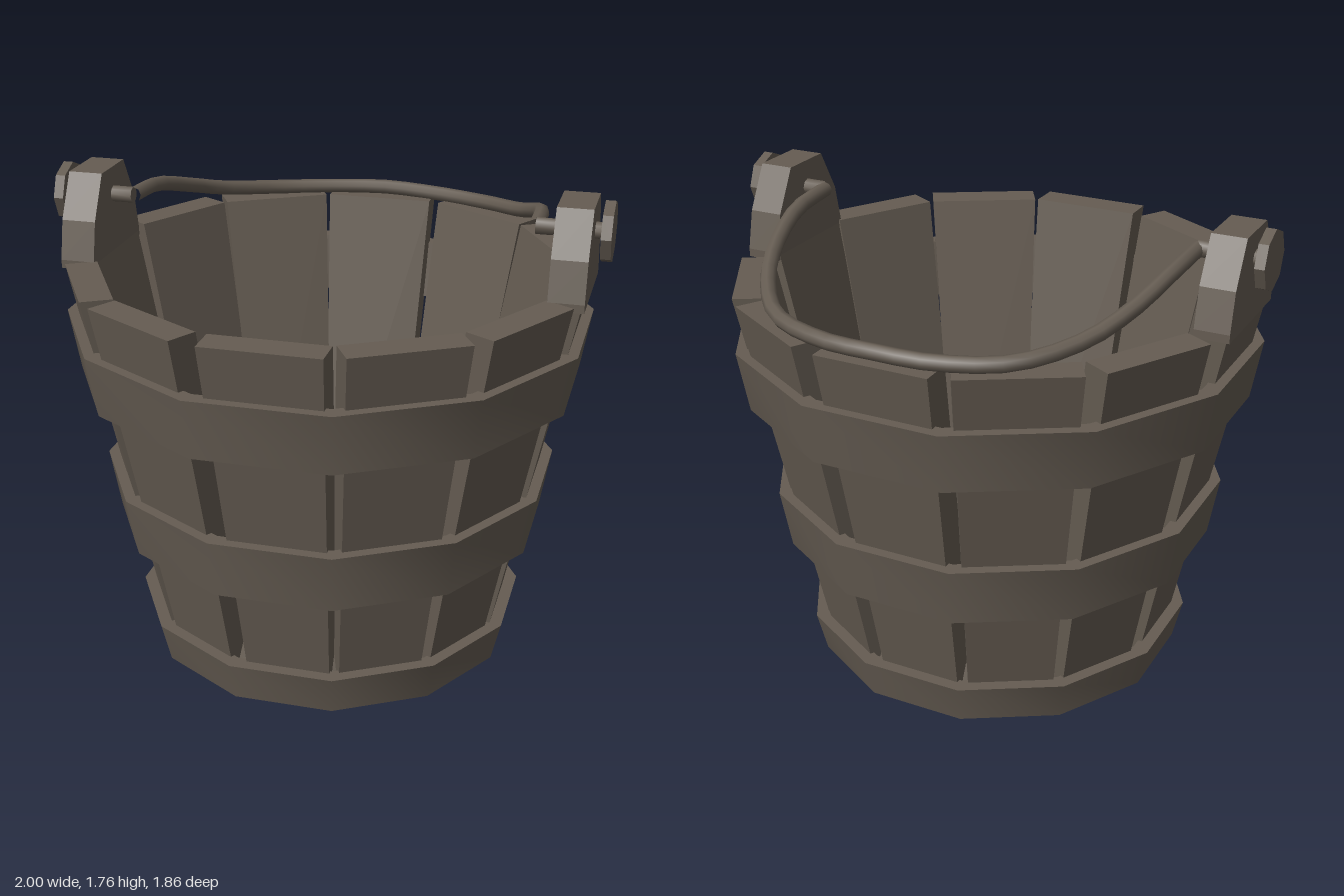
import * as THREE from 'three';
import { toCreasedNormals } from 'three/addons/utils/BufferGeometryUtils.js';

const wood = new THREE.MeshStandardMaterial({ color: 0x655c52 });
wood.name = 'weathered wood';

const SIDES = 12;
const CORNER = 1 / Math.cos(Math.PI / SIDES); // flat-to-flat radius -> corner radius

function add(parent, name, geometry) {
  const mesh = new THREE.Mesh(geometry, wood);
  mesh.name = name;
  parent.add(mesh);
  return mesh;
}

// Tapered plank leaning outwards, shifted slightly sideways
function staveGeometry(shift) {
  const g = new THREE.BoxGeometry(2, 1.44, 2);
  g.translate(0, 0.74, 0);
  const p = g.attributes.position;
  for (let i = 0; i < p.count; i++) {
    const y = p.getY(i);
    const outer = p.getZ(i) > 0;
    p.setX(i, Math.sign(p.getX(i)) * (0.147 + 0.041 * y) + shift);
    p.setZ(i, (outer ? 0.63 : 0.515) + 0.205 * y);
  }
  g.computeVertexNormals();
  return g;
}

// Twelve-sided flared hoop with a rectangular section
function hoopGeometry(y0, y1, r0, r1) {
  const t = 0.06;
  const profile = [[r0 - t, y0], [r0, y0], [r1, y1], [r1 - t, y1], [r0 - t, y0]]
    .map(([r, y]) => new THREE.Vector2(r * CORNER, y));
  return toCreasedNormals(new THREE.LatheGeometry(profile, SIDES, Math.PI / SIDES), 0.7);
}

export function createModel() {
  const bucket = new THREE.Group();
  bucket.name = 'bucket';

  // Staves
  const shifts = [0.015, 0.004, -0.004, -0.025, 0.005, -0.006, 0.012, 0.004, -0.005, 0.025, 0.006, -0.004];
  shifts.forEach((shift, i) => {
    add(bucket, 'stave', staveGeometry(shift)).rotation.y = (i * 2 * Math.PI) / SIDES;
  });

  // Hoops
  add(bucket, 'bottomHoop', hoopGeometry(0, 0.15, 0.67, 0.705));
  add(bucket, 'middleHoop', hoopGeometry(0.48, 0.7, 0.775, 0.812));
  add(bucket, 'topHoop', hoopGeometry(1.05, 1.27, 0.89, 0.927));

  // Floor
  const floor = new THREE.CylinderGeometry(0.6 * CORNER, 0.655 * CORNER, 0.19, SIDES, 1, false, Math.PI / SIDES);
  add(bucket, 'floor', toCreasedNormals(floor, 0.7)).position.y = 0.096;

  // Ears and pins on both sides
  const earShape = new THREE.Shape(
    [[-0.222, 1.43], [0.222, 1.43], [0.222, 1.46], [0.19, 1.6], [0.103, 1.755], [-0.103, 1.755], [-0.19, 1.6], [-0.222, 1.46]]
      .map(([x, y]) => new THREE.Vector2(x, y)));
  for (const side of [1, -1]) {
    const name = side > 0 ? 'left' : 'right';
    const ear = add(bucket, name + 'Ear',
      new THREE.ExtrudeGeometry(earShape, { depth: 0.125, bevelEnabled: false }));
    ear.rotation.y = Math.PI / 2;
    ear.position.set(side > 0 ? 0.812 : -0.937, 0, 0.027);

    const pin = add(bucket, name + 'Pin',
      toCreasedNormals(new THREE.CylinderGeometry(0.03, 0.03, 0.25, 8), 0.9));
    pin.rotation.z = Math.PI / 2;
    pin.position.set(side * 0.86, 1.655, 0.03);

    const head = add(bucket, name + 'PinHead',
      toCreasedNormals(new THREE.CylinderGeometry(0.108, 0.108, 0.036, 8), 0.5));
    head.rotation.z = Math.PI / 2;
    head.position.set(side * 0.982, 1.655, 0.033);
  }

  // Bail handle, lying back on the rim
  const half = [[0.735, 1.655, 0.03], [0.725, 1.64, -0.18], [0.675, 1.58, -0.4], [0.59, 1.525, -0.58],
    [0.43, 1.49, -0.765], [0.2, 1.485, -0.86]];
  const path = [
    ...half.map(([x, y, z]) => new THREE.Vector3(-x, y, z)),
    new THREE.Vector3(0, 1.49, -0.88),
    ...half.slice().reverse().map((q) => new THREE.Vector3(...q)),
  ];
  add(bucket, 'handle', new THREE.TubeGeometry(new THREE.CatmullRomCurve3(path), 32, 0.028, 8));

  return bucket;
}
